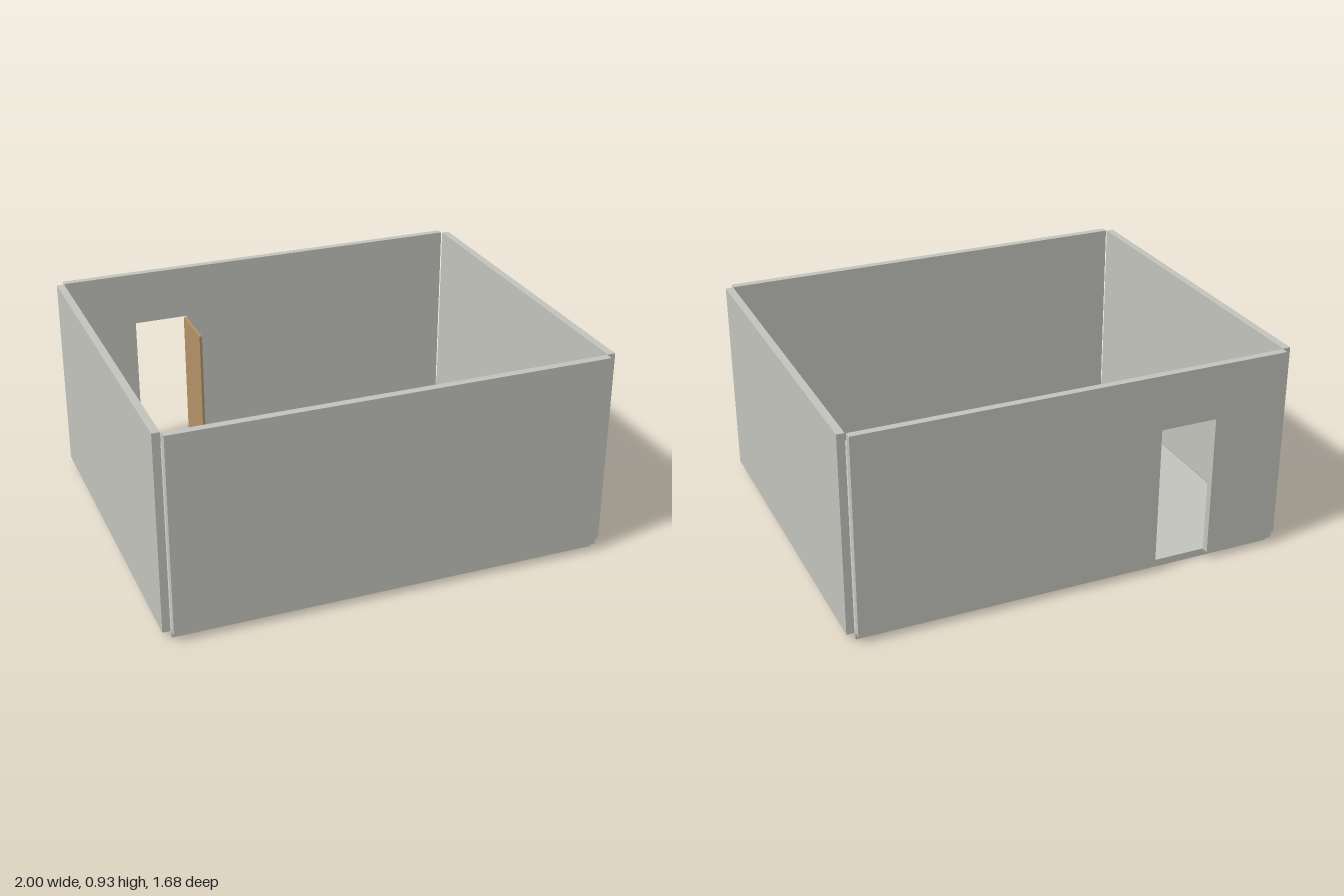
import * as THREE from 'three';

export function createModel() {
  const plaster = new THREE.MeshStandardMaterial({ color: 0xc4c4be });
  plaster.name = 'pale grey plaster';
  const wood = new THREE.MeshStandardMaterial({ color: 0xb49267 });
  wood.name = 'light brown wood';
  const teal = new THREE.MeshStandardMaterial({ color: 0x4f979f });
  teal.name = 'teal chair';

  const room = new THREE.Group();
  room.name = 'room';

  // Box given by its lowest and highest corners
  const box = (parent, name, material, [x0, y0, z0], [x1, y1, z1]) => {
    const mesh = new THREE.Mesh(new THREE.BoxGeometry(x1 - x0, y1 - y0, z1 - z0), material);
    mesh.position.set((x0 + x1) / 2, (y0 + y1) / 2, (z0 + z1) / 2);
    mesh.name = name;
    parent.add(mesh);
  };

  const floorTop = 0.033, wallTop = 0.93;

  // Floor slab and plain walls, standing just outside the slab
  box(room, 'floor', plaster, [-0.962, 0, -0.802], [0.962, floorTop, 0.802]);
  box(room, 'frontWall', plaster, [-0.962, floorTop, 0.803], [0.962, wallTop, 0.838]);
  box(room, 'leftWall', plaster, [0.966, floorTop, -0.802], [1, wallTop, 0.802]);
  box(room, 'rightWall', plaster, [-1, floorTop, -0.802], [-0.966, wallTop, 0.802]);

  // Back wall with the doorway cut up from its lower edge
  const doorway = { x0: -0.637, x1: -0.381, top: 0.682 };
  const outline = new THREE.Shape([
    [-0.962, floorTop], [doorway.x0, floorTop], [doorway.x0, doorway.top],
    [doorway.x1, doorway.top], [doorway.x1, floorTop], [0.962, floorTop],
    [0.962, wallTop], [-0.962, wallTop],
  ].map(([x, y]) => new THREE.Vector2(x, y)));
  const backWall = new THREE.Mesh(
    new THREE.ExtrudeGeometry(outline, { depth: 0.033, bevelEnabled: false }), plaster);
  backWall.position.z = -0.838;
  backWall.name = 'backWall';
  room.add(backWall);

  // Door standing open into the room
  box(room, 'door', wood, [-0.399, floorTop, -0.805], [-0.387, 0.678, -0.55]);

  // Four slim legs at the corners of a rectangle
  const addLegs = (parent, name, material, x, z0, z1, top, w) => {
    for (const lx of [-x, x - w]) {
      for (const lz of [z0, z1 - w]) {
        box(parent, name, material, [lx, floorTop, lz], [lx + w, top, lz + w]);
      }
    }
  };

  // Desk
  const desk = new THREE.Group();
  desk.name = 'desk';
  box(desk, 'deskTop', wood, [-0.16, 0.259, 0.063], [0.16, 0.275, 0.253]);
  addLegs(desk, 'deskLeg', wood, 0.155, 0.068, 0.248, 0.259, 0.014);
  room.add(desk);

  // Chair facing the desk
  const chair = new THREE.Group();
  chair.name = 'chair';
  box(chair, 'seat', teal, [-0.08, 0.162, -0.115], [0.08, 0.178, 0.045]);
  box(chair, 'backrest', teal, [-0.08, 0.178, -0.115], [0.08, 0.335, -0.103]);
  addLegs(chair, 'chairLeg', teal, 0.077, -0.112, 0.042, 0.162, 0.01);
  room.add(chair);

  return room;
}
